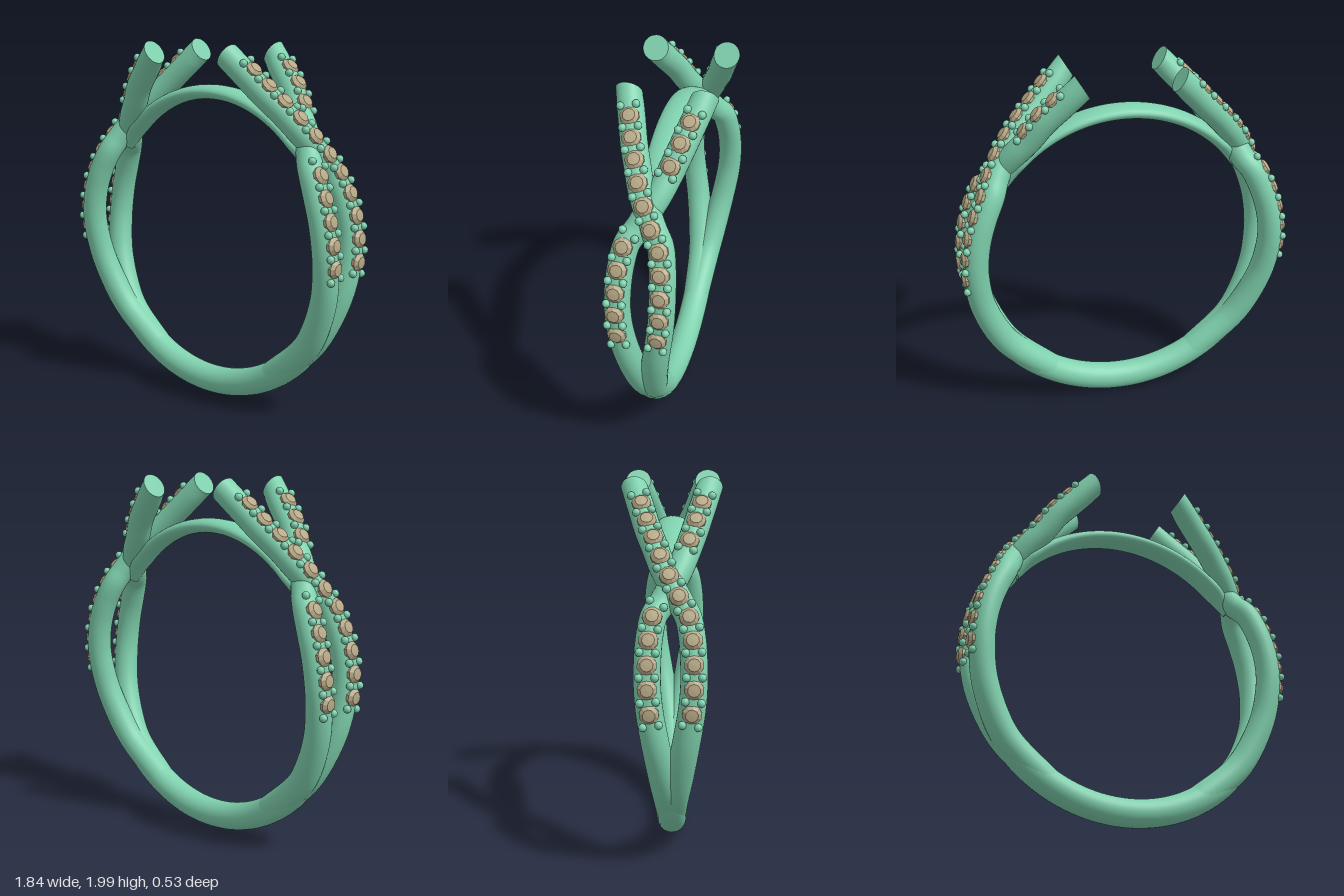
import * as THREE from 'three';

const CENTRE_Y = 0.918;
const metal = new THREE.MeshStandardMaterial({ color: 0x7fd1ae });
const stone = new THREE.MeshStandardMaterial({ color: 0xb8aa88, flatShading: true });
const Z = new THREE.Vector3(0, 0, 1);

// Path entry: [angle in degrees, distance from ring axis, z, radial radius, sideways radius]
function makeCurve(path) {
  return new THREE.CatmullRomCurve3(path.map(([deg, R, z]) => {
    const a = THREE.MathUtils.degToRad(deg);
    return new THREE.Vector3(R * Math.cos(a), CENTRE_Y + R * Math.sin(a), z);
  }));
}

// Outward and sideways directions for a tangent
function frame(T) {
  const N = new THREE.Vector3().crossVectors(T, Z).normalize();
  const B = new THREE.Vector3().crossVectors(T, N).normalize();
  return { N, B };
}

// Sweep an ellipse along the path; endDir tilts the final cut
function sweep(path, steps, endDir, sides = 28) {
  const curve = makeCurve(path), pos = [], index = [];
  for (let i = 0; i <= steps; i++) {
    const t = i / steps, c = curve.getPoint(t), T = curve.getTangent(t);
    if (endDir) T.lerp(endDir, THREE.MathUtils.smoothstep(t, 0.94, 1)).normalize();
    const { N, B } = frame(T);
    const f = t * (path.length - 1), k = Math.min(Math.floor(f), path.length - 2);
    const rN = THREE.MathUtils.lerp(path[k][3], path[k + 1][3], f - k);
    const rB = THREE.MathUtils.lerp(path[k][4], path[k + 1][4], f - k);
    for (let j = 0; j < sides; j++) {
      const a = j / sides * Math.PI * 2;
      const p = c.clone().addScaledVector(N, rN * Math.cos(a)).addScaledVector(B, rB * Math.sin(a));
      pos.push(p.x, p.y, p.z);
      if (i === steps) continue;
      const j2 = (j + 1) % sides, a0 = i * sides + j, a1 = i * sides + j2;
      index.push(a0, a1, a0 + sides, a1, a1 + sides, a0 + sides);
    }
  }
  // flat caps with their own vertices
  for (const end of [0, 1]) {
    const c = curve.getPoint(end), start = pos.length / 3, ring = end * steps * sides * 3;
    pos.push(...pos.slice(ring, ring + sides * 3), c.x, c.y, c.z);
    for (let j = 0; j < sides; j++) {
      const a = start + j, b = start + (j + 1) % sides;
      index.push(start + sides, end ? a : b, end ? b : a);
    }
  }
  const g = new THREE.BufferGeometry();
  g.setAttribute('position', new THREE.Float32BufferAttribute(pos, 3));
  g.setIndex(index);
  g.computeVertexNormals();
  return g;
}

function add(parent, name, geometry, material) {
  const m = new THREE.Mesh(geometry, material);
  m.name = name;
  parent.add(m);
  return m;
}

// Strand that splits from the shank, bows out, crosses over and ends free
const STRAND = [
  [-60, 0.838, 0, 0.076], [-40, 0.838, -0.02, 0.075], [-30, 0.838, -0.04, 0.074],
  [-15, 0.838, -0.075, 0.071], [-2, 0.838, -0.105, 0.069], [6, 0.838, -0.115, 0.068],
  [14, 0.838, -0.115, 0.068], [22, 0.838, -0.107, 0.068], [30, 0.842, -0.085, 0.068],
  [35, 0.855, -0.045, 0.068], [41, 0.87, 0, 0.068], [47.4, 0.886, 0.045, 0.068],
  [54, 0.905, 0.08, 0.069], [61.2, 0.933, 0.12, 0.07], [68.5, 0.98, 0.155, 0.07],
  [75.7, 1.05, 0.195, 0.07],
];
const GEM = new THREE.LatheGeometry(
  [[0, 0.01], [0.04, 0.03], [0.05, 0.045], [0.05, 0.064], [0.032, 0.081], [0, 0.083]]
    .map(([x, y]) => new THREE.Vector2(x, y)), 10);
const PRONG = new THREE.SphereGeometry(0.021, 12, 8);

function makeStrand(name, under) {
  const group = new THREE.Group();
  group.name = name;
  const path = STRAND.map(([d, R, z, r]) =>
    [d, R - (under && d > 30 && d < 60 ? 0.02 : 0), under ? -z : z, r, r]);
  add(group, 'band', sweep(path, 110, new THREE.Vector3(-0.85, 0.52, 0)), metal);

  const curve = makeCurve(path);
  const uAtY = (y) => {
    let u = 0;
    while (u < 1 && curve.getPointAt(u).y < y) u += 0.002;
    return u;
  };
  const u0 = uAtY(0.885), u1 = uAtY(1.825);
  // eleven gem seats; the lower strand has none where it is covered
  const place = (i) => {
    const u = u0 + (u1 - u0) * i / 10;
    const T = curve.getTangentAt(u);
    return { c: curve.getPointAt(u), T, ...frame(T) };
  };
  for (let i = 0; i <= 10; i++) {
    if (under && i > 4 && i < 8) continue;
    const { c, T, N, B } = place(i);
    const gem = add(group, 'gem', GEM, stone);
    gem.quaternion.setFromRotationMatrix(new THREE.Matrix4().makeBasis(B, N, T.negate()));
    gem.position.copy(c);
  }
  // prong pairs between the gems
  for (let i = -0.5; i <= 10.5; i++) {
    if (under && i > 5 && i < 7) continue;
    const { c, N, B } = place(i);
    for (const s of [-1, 1]) {
      add(group, 'prong', PRONG, metal).position.copy(c)
        .addScaledVector(N, 0.063).addScaledVector(B, s * 0.04);
    }
  }
  return group;
}

export function createModel() {
  const ring = new THREE.Group();
  ring.name = 'ring';

  // Lower shank, tapering away inside the strands
  const shank = [];
  for (let d = -145; d <= -35; d += 10) {
    const r = d === -145 || d === -35 ? 0.06 : 0.078;
    shank.push([d, 0.838, 0, r, r]);
  }
  add(ring, 'shank', sweep(shank, 70), metal);

  // Flat arch across the top, narrowing under the crossings
  const arch = [];
  for (let d = 35; d <= 145; d += 10) {
    arch.push([d, 0.803, 0, 0.04, d === 35 || d === 145 ? 0.035 : 0.08]);
  }
  add(ring, 'arch', sweep(arch, 70), metal);

  // Crossing shoulders, the second turned half way round
  for (const side of ['left', 'right']) {
    const shoulder = new THREE.Group();
    shoulder.name = side + 'Shoulder';
    shoulder.add(makeStrand('upperStrand', false), makeStrand('lowerStrand', true));
    if (side === 'right') shoulder.rotation.y = Math.PI;
    ring.add(shoulder);
  }
  return ring;
}
